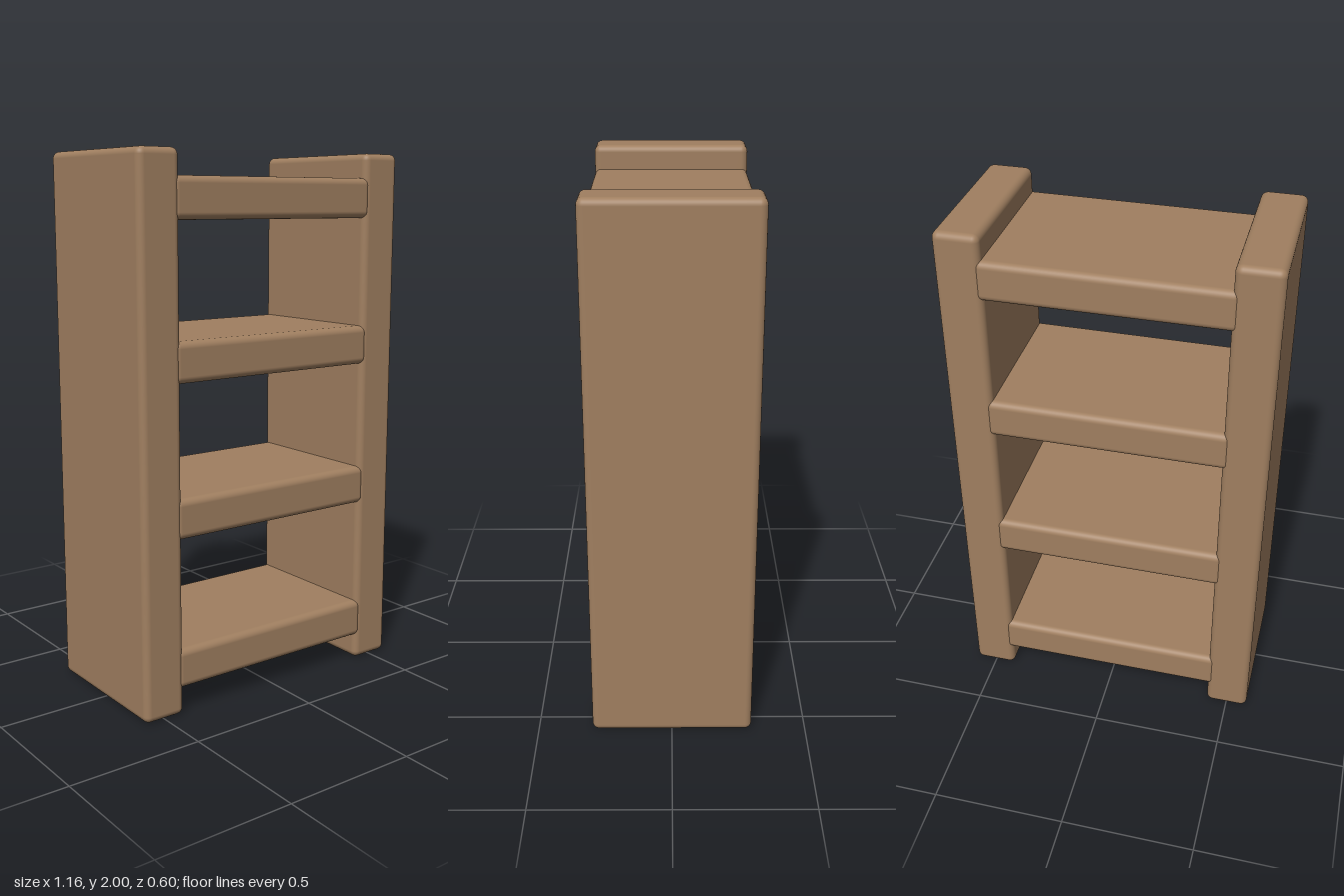
import * as THREE from 'three';
import { RoundedBoxGeometry } from 'three/addons/geometries/RoundedBoxGeometry.js';

export function createModel() {
  const group = new THREE.Group();
  group.name = 'shelfUnit';

  const wood = new THREE.MeshStandardMaterial({ color: 0xa07f60 });
  wood.name = 'wood';

  const DEPTH = 0.596;
  const RADIUS = 0.025;

  const addBoard = (name, width, height, x, y) => {
    const board = new THREE.Mesh(new RoundedBoxGeometry(width, height, DEPTH, 4, RADIUS), wood);
    board.name = name;
    board.position.set(x, y, 0);
    group.add(board);
  };

  // Upright side panels
  addBoard('leftSide', 0.164, 2, 0.5, 1);
  addBoard('rightSide', 0.164, 2, -0.5, 1);

  // Evenly spaced shelves, with their ends let into the sides
  for (let i = 0; i < 4; i++) {
    addBoard(`shelf${i + 1}`, 0.89, 0.147, 0, 0.171 + i * 0.555);
  }

  return group;
}
